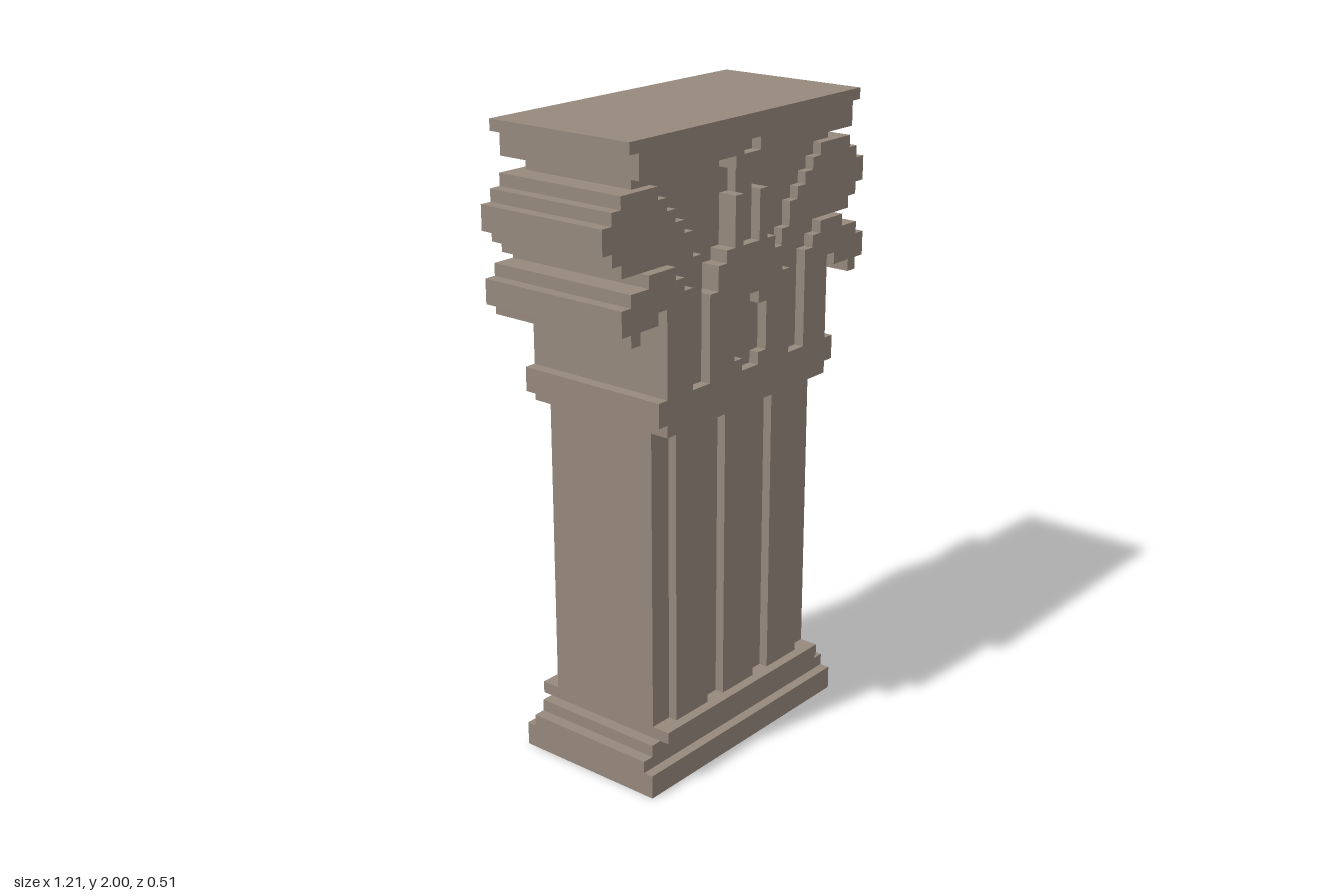
import * as THREE from 'three';

const U = 0.0378;            // size of one step of the stepped outline
const TOP = 2 / U;           // top of the slab in steps
const OUTER = 0.257, MID = 0.225, INNER = 0.196; // half depths of the relief layers

export function createModel() {
  const stone = new THREE.MeshStandardMaterial({ color: 0x96887c });
  stone.name = 'warm grey stone';
  const model = new THREE.Group();
  model.name = 'pilaster';

  const toPoints = (pts) => pts.map(([x, y]) => new THREE.Vector2(x * U, y * U));
  const mirrored = (half) => [...half, ...half.map(([x, y]) => [-x, y]).reverse()];
  const flipped = (pts) => pts.map(([x, y]) => [-x, y]).reverse();

  // Stepped outline pushed through the full depth, the same on front and back
  function slab(name, pts, halfDepth, hole) {
    const shape = new THREE.Shape(toPoints(pts));
    if (hole) shape.holes.push(new THREE.Path(toPoints(hole)));
    const geo = new THREE.ExtrudeGeometry(shape, { depth: 2 * halfDepth, bevelEnabled: false });
    geo.translate(0, 0, -halfDepth);
    const mesh = new THREE.Mesh(geo, stone);
    mesh.name = name;
    model.add(mesh);
  }

  // Block from x0 to x1 and y0 to y1, in steps
  function block(name, x0, x1, y0, y1, halfDepth) {
    const geo = new THREE.BoxGeometry((x1 - x0) * U, (y1 - y0) * U, 2 * halfDepth);
    const mesh = new THREE.Mesh(geo, stone);
    mesh.name = name;
    mesh.position.set((x0 + x1) / 2 * U, (y0 + y1) / 2 * U, 0);
    model.add(mesh);
  }

  // Base mouldings
  block('plinth', -12, 12, 0, 2, OUTER);
  block('baseStepLower', -12, 12, 2, 3, MID);
  block('baseStepUpper', -11, 11, 3, 4, MID);
  block('baseFillet', -10, 10, 4, 5, OUTER);

  // Shaft with three raised panels
  block('shaft', -10, 10, 5, 30, INNER);
  for (const [x0, x1] of [[-8, -4], [-2, 2], [4, 8]]) block('shaftPanel', x0, x1, 5, 30, MID);

  // Neck ring
  block('neckBand', -10, 10, 30, 31, OUTER);
  block('neckRing', -11, 11, 31, 33, OUTER);

  // Recessed core of the capital
  block('capitalCore', -10, 10, 33, 49, INNER);
  block('capitalNeck', -12, 12, 49, 50, INNER);

  // Central bell with an oval recess
  const oval = mirrored([[1, 33], [1, 34], [2, 34], [2, 38], [1, 38], [1, 39]]);
  slab('bell', mirrored([[5, 33], [5, 40], [4, 40], [4, 42], [3, 42], [3, 43],
    [2, 43], [2, 47], [1, 47], [1, 43]]), OUTER, oval);
  block('ovalFloor', -2, 2, 33, 39, MID);
  block('centreStem', -1, 1, 43, 51, MID);
  block('centreBud', -2, 2, 49, 50, OUTER);

  // Side scrolls and leaves
  const scroll = [[5, 33], [7, 33], [7, 41], [8, 41], [8, 42], [9, 42], [9, 43],
    [14, 43], [14, 44], [15, 44], [15, 45], [16, 45], [16, 47], [15, 47], [15, 48], [14, 48],
    [14, 49], [10, 49], [10, 48], [9, 48], [9, 47], [8, 47], [8, 46], [7, 46], [7, 45],
    [6, 45], [6, 43], [5, 43]];
  const leaf = [[7, 33], [10, 33], [10, 40], [11, 40], [11, 39], [13, 39], [13, 38], [14, 38],
    [14, 39], [15, 39], [15, 41], [14, 41], [14, 42], [12, 42], [12, 43], [9, 43],
    [9, 42], [8, 42], [8, 41], [7, 41]];
  slab('leftScroll', scroll, MID);
  slab('rightScroll', flipped(scroll), MID);
  slab('leftLeaf', leaf, OUTER);
  slab('rightLeaf', flipped(leaf), OUTER);

  // Top slab with a notch above the bud
  slab('abacus', mirrored([[1, 50], [13, 50], [13, 52], [14, 52], [14, TOP]])
    .concat([[-1, 51], [1, 51]]), OUTER);

  return model;
}
